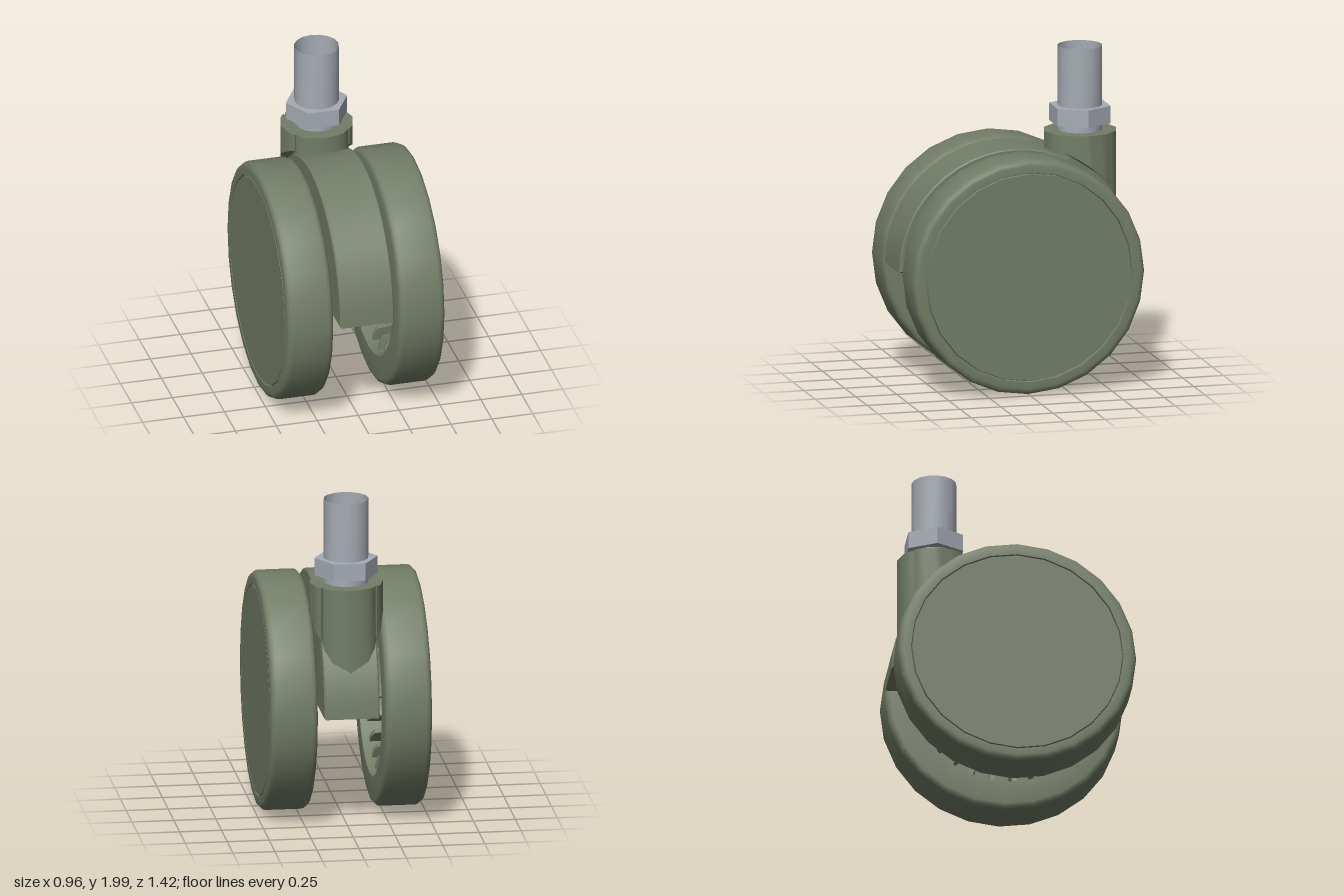
import * as THREE from 'three';
import { toCreasedNormals } from 'three/addons/utils/BufferGeometryUtils.js';

const AXLE_Y = 0.718, R = 0.71, STEM_Z = -0.44, HOOD_X = 0.165;
const olive = new THREE.MeshStandardMaterial({ color: 0x737d67 });
const steel = new THREE.MeshStandardMaterial({ color: 0xa6abb4 });
const steelOpen = steel.clone();
steelOpen.side = THREE.DoubleSide;

function part(name, geometry, material, crease = 0.6) {
  const mesh = new THREE.Mesh(toCreasedNormals(geometry, crease), material);
  mesh.name = name;
  return mesh;
}

// Hollow wheel on the +x side: cap with a thin groove, rounded rim, ribbed recess facing inwards
function makeWheel(name) {
  const wheel = new THREE.Group();
  wheel.name = name;
  const points = [[0, 0.36], [0.535, 0.36], [0.535, 0.2]];
  const b = 0.035;
  for (let i = 0; i <= 3; i++) {
    const a = (i / 3) * Math.PI / 2;
    points.push([R - b + b * Math.sin(a), 0.2 + b - b * Math.cos(a)]);
  }
  for (let i = 0; i <= 3; i++) {
    const a = (i / 3) * Math.PI / 2;
    points.push([R - b + b * Math.cos(a), 0.48 - b + b * Math.sin(a)]);
  }
  points.push([0.632, 0.48], [0.628, 0.468], [0.624, 0.48], [0, 0.48]);
  const body = new THREE.LatheGeometry(points.map(p => new THREE.Vector2(...p)), 24);
  body.rotateZ(-Math.PI / 2);
  wheel.add(part('wheelBody', body, olive));

  // Gusset ribs around the recess
  const profile = new THREE.Shape([[0.37, 0.44], [0.37, 0.545], [0.24, 0.545], [0.25, 0.48], [0.27, 0.45]]
    .map(p => new THREE.Vector2(...p)));
  const rib = new THREE.ExtrudeGeometry(profile, { depth: 0.03, bevelEnabled: false });
  rib.translate(0, 0, -0.015);
  for (let i = 0; i < 24; i++) {
    const mesh = part('wheelRib', rib, olive);
    mesh.rotation.x = ((i + 0.5) / 24) * Math.PI * 2;
    wheel.add(mesh);
  }
  wheel.position.y = AXLE_Y;
  return wheel;
}

// Half-round hood between the wheels
function makeHood() {
  const bevel = 0.008;
  const shape = new THREE.Shape();
  for (let i = 0; i <= 24; i++) {
    const a = (i / 24) * Math.PI;
    const x = (R - bevel) * Math.cos(a), y = bevel + (R - bevel) * Math.sin(a) * 0.99;
    if (i) shape.lineTo(x, y); else shape.moveTo(x, y);
  }
  const geometry = new THREE.ExtrudeGeometry(shape, {
    depth: 2 * (HOOD_X - bevel), bevelThickness: bevel, bevelSize: bevel, bevelSegments: 1,
  });
  geometry.translate(0, 0, -(HOOD_X - bevel));
  geometry.rotateY(Math.PI / 2);
  geometry.translate(0, AXLE_Y, 0);
  return part('hood', geometry, olive, 0.4);
}

// Upright prism from a plan outline of [x, z] points
function prism(outline, y0, y1) {
  const shape = new THREE.Shape(outline.map(([x, z]) => new THREE.Vector2(x, -z)));
  const geometry = new THREE.ExtrudeGeometry(shape, { depth: y1 - y0, bevelEnabled: false });
  geometry.rotateX(-Math.PI / 2);
  geometry.translate(0, y0, 0);
  return geometry;
}

// Twelve-sided socket, its sides cut away to clear the wheels
function makeSocket() {
  const socket = new THREE.Group();
  socket.name = 'stemSocket';
  const r = 0.22, top = 1.492;
  const apothem = r * Math.cos(Math.PI / 12);
  const polar = a => {
    const sector = Math.PI / 6;
    const local = ((a % sector) + sector) % sector - sector / 2;
    const d = apothem / Math.cos(local);
    return [d * Math.cos(a), STEM_Z + d * Math.sin(a)];
  };
  const core = [];
  for (let i = 0; i < 24; i++) {
    const [x, z] = polar((i / 24) * Math.PI * 2);
    core.push([THREE.MathUtils.clamp(x, -HOOD_X, HOOD_X), z]);
  }
  socket.add(part('socketCore', prism(core, 0.9, top), olive));

  const half = Math.acos(HOOD_X / r) - 0.01;
  for (const side of [1, -1]) {
    const outline = [];
    for (let i = 0; i <= 12; i++) {
      const [x, z] = polar(half * (i / 6 - 1));
      outline.push([side * Math.max(x, HOOD_X), z]);
    }
    for (let i = 11; i > 0; i--) outline.push([side * (HOOD_X - 0.01), outline[i][1]]);
    const geometry = prism(outline, 1, top);
    const pos = geometry.attributes.position;
    for (let i = 0; i < pos.count; i++) {
      if (pos.getY(i) < 1.2) pos.setY(i, AXLE_Y + Math.sqrt(0.735 ** 2 - pos.getZ(i) ** 2));
    }
    socket.add(part('socketSide', geometry, olive));
  }
  return socket;
}

export function createModel() {
  const model = new THREE.Group();
  model.name = 'casterWheel';

  const left = makeWheel('leftWheel');
  const right = makeWheel('rightWheel');
  right.rotation.y = Math.PI;
  model.add(left, right, makeHood(), makeSocket());

  // Open tubular stem and hexagonal nut
  const stem = new THREE.CylinderGeometry(0.133, 0.133, 0.52, 16, 1, true);
  stem.translate(0, 1.74, STEM_Z);
  model.add(part('stem', stem, steelOpen));

  const nut = new THREE.CylinderGeometry(0.188, 0.188, 0.105, 6);
  nut.rotateY(Math.PI / 6);
  nut.translate(0, 1.588, STEM_Z);
  model.add(part('nut', nut, steel));

  return model;
}
